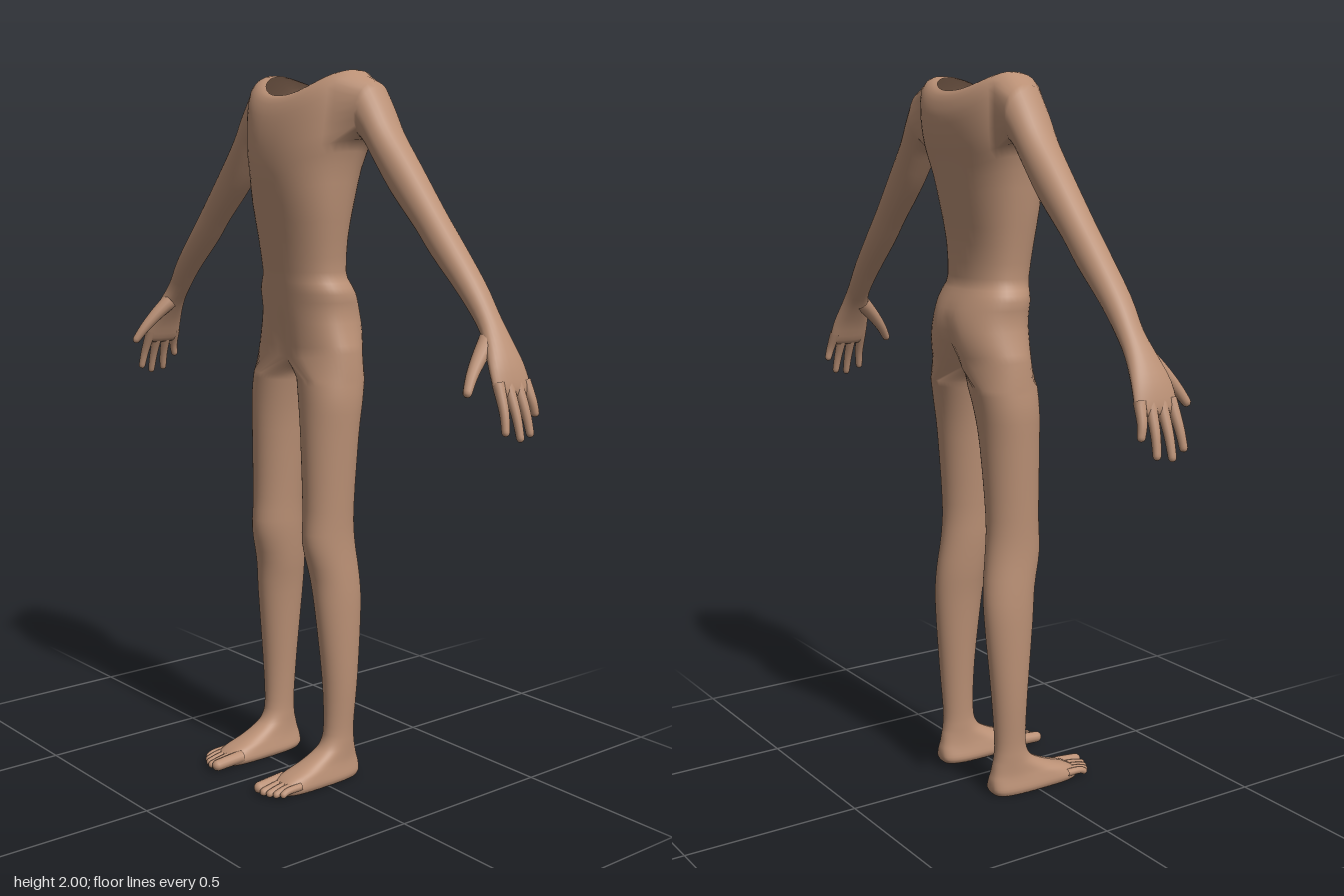
import * as THREE from 'three';
import { mergeGeometries, mergeVertices } from 'three/addons/utils/BufferGeometryUtils.js';

const N = 48; // points around the torso and each leg
const V = (x, y, z) => new THREE.Vector3(x, y, z);
const spow = (v, e) => Math.sign(v) * Math.pow(Math.abs(v), e);

// smooth in-between rows of numbers (k steps per span)
function subdivide(rows, k) {
  const out = [], n = rows.length - 1;
  for (let i = 0; i < n; i++) {
    const [a, b, c, d] = [rows[Math.max(i - 1, 0)], rows[i], rows[i + 1], rows[Math.min(i + 2, n)]];
    for (let s = 0; s < k; s++) {
      const t = s / k;
      out.push(b.map((v, m) => {
        const cubic = 3 * (v - c[m]) + d[m] - a[m];
        const square = 2 * a[m] - 5 * v + 4 * c[m] - d[m];
        return v + 0.5 * t * (c[m] - a[m] + t * (square + t * cubic));
      }));
    }
  }
  out.push(rows[n]);
  return out;
}

// skin over closed rings; skip(i, j) leaves out a quad
function loft(rings, skip = () => false) {
  const n = rings[0].length, index = [];
  for (let i = 0; i < rings.length - 1; i++) {
    for (let j = 0; j < n; j++) {
      if (skip(i, j)) continue;
      const k = (j + 1) % n, a = i * n + j, b = i * n + k;
      index.push(a, a + n, b + n, a, b + n, b);
    }
  }
  const g = new THREE.BufferGeometry().setFromPoints(rings.flat());
  g.setIndex(index);
  return g;
}

function mirrored(geo) {
  const g = geo.clone().scale(-1, 1, 1);
  g.setIndex([...geo.index.array].reverse());
  return g;
}

// closing ring: every point at the ring's middle
function capRing(ring) {
  const c = V(0, 0, 0);
  ring.forEach(p => c.addScaledVector(p, 1 / ring.length));
  return ring.map(() => c.clone());
}

// tapered round digit with a rounded tip
function digit(points, r0, r1) {
  const curve = new THREE.CatmullRomCurve3(points), steps = 14, rings = [];
  const f = curve.computeFrenetFrames(steps, false);
  const len = curve.getLength();
  for (let i = 0; i <= steps; i++) {
    // crowd the rings toward the tip
    const t = 1 - Math.pow(1 - i / steps, 1.7), q = Math.max(0, 1 - (1 - t) * len / r1);
    const r = THREE.MathUtils.lerp(r0, r1, t) * Math.sqrt(Math.max(0, 1 - q * q));
    const c = curve.getPointAt(t), s = Math.round(t * steps), ring = [];
    for (let j = 0; j < 12; j++) {
      const a = -j / 12 * Math.PI * 2;
      ring.push(c.clone().addScaledVector(f.normals[s], r * Math.cos(a)).addScaledVector(f.binormals[s], r * Math.sin(a)));
    }
    rings.push(ring);
  }
  const g = mergeVertices(loft(rings), 1e-5);
  g.computeVertexNormals();
  return g;
}

// side y, front y, back y, half width, front z, back z, middle z, cleft depth
const torsoRows = [
  [1.995, 1.935, 1.955, 0.14, 0.03, -0.17, -0.085, 0],
  [2.0, 1.925, 1.94, 0.175, 0.045, -0.185, -0.09, 0],
  [1.985, 1.895, 1.905, 0.205, 0.06, -0.197, -0.095, 0],
  [1.93, 1.86, 1.87, 0.21, 0.07, -0.2, -0.095, 0],
  [1.87, 1.82, 1.82, 0.205, 0.077, -0.195, -0.095, 0],
  [1.815, 1.775, 1.775, 0.198, 0.08, -0.185, -0.09, 0],
  [1.75, 1.72, 1.72, 0.178, 0.078, -0.175, -0.07, 0],
  [1.65, 1.64, 1.64, 0.165, 0.066, -0.16, -0.05, 0],
  [1.55, 1.55, 1.55, 0.15, 0.05, -0.143, -0.05, 0],
  [1.46, 1.46, 1.46, 0.14, 0.038, -0.143, -0.055, 0],
  [1.43, 1.43, 1.43, 0.15, 0.035, -0.152, -0.06, 0],
  [1.4, 1.4, 1.4, 0.163, 0.032, -0.168, -0.065, 0],
  [1.35, 1.35, 1.35, 0.159, 0.028, -0.19, -0.07, 0.005],
  [1.29, 1.29, 1.285, 0.172, 0.024, -0.195, -0.07, 0.02],
  [1.24, 1.22, 1.215, 0.187, 0.022, -0.18, -0.07, 0.045],
];

// top x, top y, bottom x, bottom y, front z, back z
const armRows = [
  [0.247, 1.966, 0.222, 1.812, -0.03, -0.16],
  [0.287, 1.908, 0.248, 1.792, -0.033, -0.155],
  [0.33, 1.842, 0.28, 1.75, -0.037, -0.15],
  [0.4, 1.76, 0.342, 1.67, -0.042, -0.145],
  [0.5, 1.64, 0.435, 1.58, -0.046, -0.137],
  [0.557, 1.575, 0.495, 1.515, -0.047, -0.135],
  [0.65, 1.465, 0.595, 1.423, -0.05, -0.13],
  [0.7, 1.39, 0.66, 1.35, -0.055, -0.127],
  [0.74, 1.33, 0.697, 1.305, -0.042, -0.132],
  [0.772, 1.27, 0.733, 1.25, -0.025, -0.143],
  [0.788, 1.215, 0.758, 1.2, -0.023, -0.148],
  [0.786, 1.193, 0.772, 1.187, -0.035, -0.138],
];

// y, inner x, outer x, front z, back z, middle z, roundness (1 round, lower boxier)
const legRows = [
  [1.165, 0.006, 0.191, 0.025, -0.165, -0.07, 0.95],
  [1.1, 0.02, 0.195, 0.028, -0.152, -0.065, 0.95],
  [1.0, 0.034, 0.19, 0.03, -0.14, -0.06, 1],
  [0.8, 0.05, 0.181, 0.028, -0.127, -0.05, 1],
  [0.7, 0.054, 0.18, 0.032, -0.132, -0.05, 1],
  [0.6, 0.064, 0.185, 0.01, -0.145, -0.06, 1],
  [0.5, 0.078, 0.188, 0, -0.146, -0.07, 1],
  [0.3, 0.094, 0.186, -0.02, -0.13, -0.075, 1],
  [0.16, 0.101, 0.177, -0.025, -0.12, -0.072, 1],
  [0.11, 0.1, 0.177, -0.014, -0.122, -0.065, 0.95],
  [0.085, 0.098, 0.178, 0.015, -0.127, -0.05, 0.9],
  [0.06, 0.094, 0.18, 0.07, -0.132, -0.02, 0.8],
  [0.04, 0.089, 0.184, 0.125, -0.137, 0.02, 0.7],
  [0.015, 0.084, 0.188, 0.155, -0.137, 0.04, 0.6],
  [0, 0.092, 0.182, 0.145, -0.128, 0.03, 0.6],
];

function ellipsePoint(j, cx, rx, zf, zb, zc, e) {
  const a = j / N * Math.PI * 2, s = Math.sin(a), c = Math.cos(a);
  return V(cx + rx * spow(s, e), 0, zc + (c > 0 ? zf - zc : zc - zb) * spow(c, e));
}

function torsoRing([ys, yf, yb, rx, zf, zb, zc, cleft]) {
  return Array.from({ length: N }, (_, j) => {
    const p = ellipsePoint(j, 0, rx, zf, zb, zc, 0.88);
    const a = j / N * Math.PI * 2, s2 = Math.sin(a) ** 2, y = Math.cos(a) > 0 ? yf : yb;
    p.y = y + (ys - y) * s2;
    const pinch = cleft * Math.exp(-((p.x / 0.035) ** 2));
    p.z += Math.cos(a) > 0 ? -0.3 * pinch : pinch;
    return p;
  });
}

function bodyGeometry() {
  const rings = subdivide(torsoRows, 2).map(torsoRing);
  // armholes: rows r0..r1, columns j0..j1 on each side
  const r0 = 4, r1 = 10, j0 = 8, j1 = 16;
  const torso = loft(rings, (i, j) => {
    const m = Math.min(j, N - 1 - j);
    return i >= r0 && i < r1 && m >= j0 && m < j1;
  });

  // arm grows out of the edge of its armhole
  const edge = [];
  for (let i = r1; i > r0; i--) edge.push(rings[i][j0]);
  for (let j = j0; j < j1; j++) edge.push(rings[r0][j]);
  for (let i = r0; i < r1; i++) edge.push(rings[i][j1]);
  for (let j = j1; j > j0; j--) edge.push(rings[r1][j]);
  const mid = capRing(edge)[0];
  const angles = edge.map(p => Math.atan2((p.y - mid.y) / 0.085, (p.z - mid.z) / 0.065));
  const armRings = subdivide(armRows, 3).map(([tx, ty, bx, by, zf, zb]) => angles.map(a => {
    const s = Math.sin(a) / 2, c = Math.cos(a) / 2;
    return V((tx + bx) / 2 + (tx - bx) * s, (ty + by) / 2 + (ty - by) * s, (zf + zb) / 2 + (zf - zb) * c);
  }));
  const arm = loft([edge, ...armRings, capRing(armRings.at(-1))]);

  // leg grows out of half the hip ring and the crotch arch
  const hip = rings.at(-1), front = hip[0], back = hip[N / 2];
  const legTop = hip.map((p, j) => {
    if (j <= N / 2) return p;
    const t = (j - N / 2) / (N / 2);
    const q = back.clone().lerp(front, (1 - Math.cos(t * Math.PI)) / 2);
    return V(0, q.y - 0.035 * Math.sin(t * Math.PI), q.z);
  });
  const legRings = subdivide(legRows, 3).map(([y, xi, xo, zf, zb, zc, e]) =>
    Array.from({ length: N }, (_, j) => {
      const p = ellipsePoint(j, (xi + xo) / 2, (xo - xi) / 2, zf, zb, zc, e);
      p.y = Math.max(y, 0);
      return p;
    }));
  const leg = loft([legTop, ...legRings, capRing(legRings.at(-1))]);

  const g = mergeVertices(mergeGeometries([torso, arm, mirrored(arm), leg, mirrored(leg)]), 1e-5);
  g.computeVertexNormals();
  return g;
}

export function createModel() {
  const group = new THREE.Group();
  const skin = new THREE.MeshStandardMaterial({ color: 0xba9075, side: THREE.DoubleSide });
  skin.name = 'skin';
  const add = (name, geo) => {
    const m = new THREE.Mesh(geo, skin);
    m.name = name;
    group.add(m);
  };
  add('body', bodyGeometry());
  const pair = (name, geo) => {
    add('left' + name, geo);
    add('right' + name, mirrored(geo));
  };

  // fingers: base z, tip x, y, z
  [[-0.039, 0.81, 1.1, -0.027], [-0.07, 0.82, 1.083, -0.07],
    [-0.102, 0.813, 1.09, -0.112], [-0.132, 0.795, 1.135, -0.148]].forEach(([z, x, y, tz], i) =>
    pair('Finger' + (i + 1), digit([V(0.768, 1.225, z), V((0.776 + x) / 2 + 0.004, (1.21 + y) / 2, (z + tz) / 2), V(x, y, tz)], 0.016, 0.01)));
  pair('Thumb', digit([V(0.703, 1.325, -0.07), V(0.716, 1.282, -0.025), V(0.728, 1.24, 0.012), V(0.742, 1.195, 0.042)], 0.025, 0.011));

  // toes: x, tip z, radius
  [[0.101, 0.203, 0.016], [0.125, 0.201, 0.011], [0.145, 0.194, 0.0105],
    [0.163, 0.184, 0.01], [0.179, 0.17, 0.0095]].forEach(([x, z, r], i) =>
    pair('Toe' + (i + 1), digit([V(x, 0.024, 0.1), V(x, 0.021, 0.15), V(x, r + 0.001, z)], r * 1.15, r)));
  return group;
}
